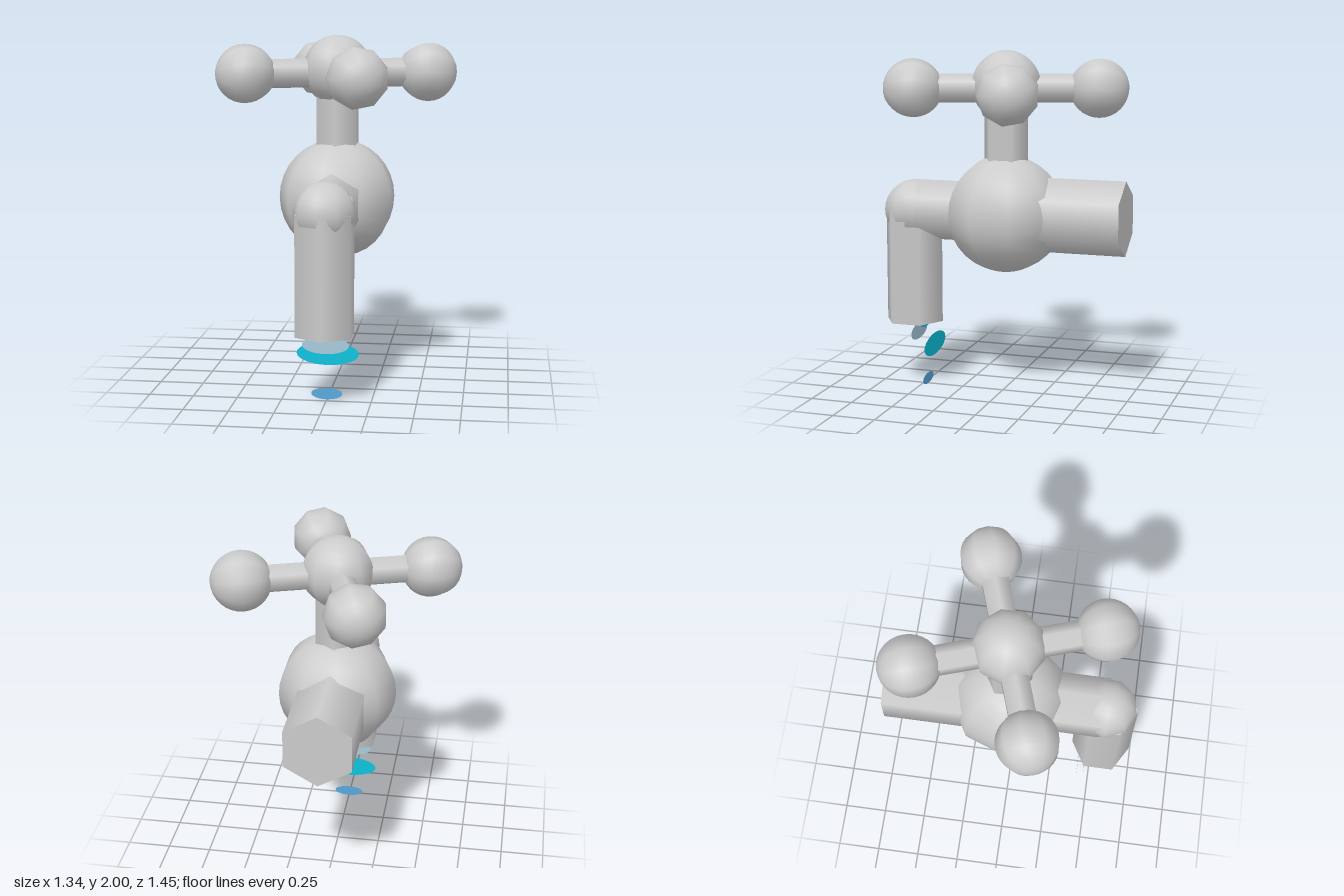
import * as THREE from 'three';

const AXIS_Z = -0.02; // the valve's vertical axis
const PIPE_Y = 1.065;
const SPOUT_Z = 0.55;

export function createModel() {
  const model = new THREE.Group();
  model.name = 'waterTap';
  const metal = new THREE.MeshStandardMaterial({ color: 0xcccccc });

  const add = (parent, name, geometry, x, y, z) => {
    const mesh = new THREE.Mesh(geometry, metal);
    mesh.name = name;
    mesh.position.set(x, y, z);
    parent.add(mesh);
    return mesh;
  };
  const ball = (r) => new THREE.SphereGeometry(r, 9, 16);
  // Six-sided pipes: upright between two heights, or lying along z
  const uprightPipe = (parent, name, r, y0, y1, z) =>
    add(parent, name, new THREE.CylinderGeometry(r, r, y1 - y0, 6), 0, (y0 + y1) / 2, z);
  const lyingPipe = (parent, name, r, z0, z1, y) =>
    add(parent, name, new THREE.CylinderGeometry(r, r, z1 - z0, 6).rotateX(Math.PI / 2), 0, y, (z0 + z1) / 2);

  // Body, inlet and spout
  add(model, 'valveBody', ball(0.34), 0, PIPE_Y, AXIS_Z);
  lyingPipe(model, 'inletPipe', 0.215, -0.725, AXIS_Z, PIPE_Y);
  lyingPipe(model, 'spoutArm', 0.175, AXIS_Z, SPOUT_Z, PIPE_Y);
  add(model, 'spoutElbow', ball(0.172), 0, PIPE_Y, SPOUT_Z);
  uprightPipe(model, 'spoutOutlet', 0.175, 0.395, PIPE_Y, SPOUT_Z);

  // Stem and cross handle
  uprightPipe(model, 'handleStem', 0.13, 1.2, 1.75, AXIS_Z);
  add(model, 'handleHub', ball(0.2), 0, 1.8, AXIS_Z);
  for (let i = 0; i < 4; i++) {
    const arm = new THREE.Group();
    arm.name = 'handleArm';
    arm.position.set(0, 1.785, AXIS_Z);
    arm.rotation.y = THREE.MathUtils.degToRad(18.5) + (i * Math.PI) / 2;
    lyingPipe(arm, 'handleRod', 0.082, 0, 0.5, 0);
    add(arm, 'handleKnob', ball(0.17).rotateX(Math.PI / 2), 0, 0, 0.53);
    model.add(arm);
  }

  // Flat oval water drops: y, z, half width, colour
  const drops = [
    [0.388, 0.48, 0.087, 0x0cc4de],
    [0.328, 0.525, 0.13, 0xa9cbde],
    [0.255, 0.425, 0.175, 0x0cc4de],
    [0.038, 0.47, 0.087, 0x58a9dc],
  ];
  for (const [y, z, r, color] of drops) {
    const drop = add(model, 'waterDrop', new THREE.CircleGeometry(r, 32).scale(1, 0.38, 1), 0, y, z);
    drop.material = new THREE.MeshStandardMaterial({ color, side: THREE.DoubleSide });
  }
  return model;
}
